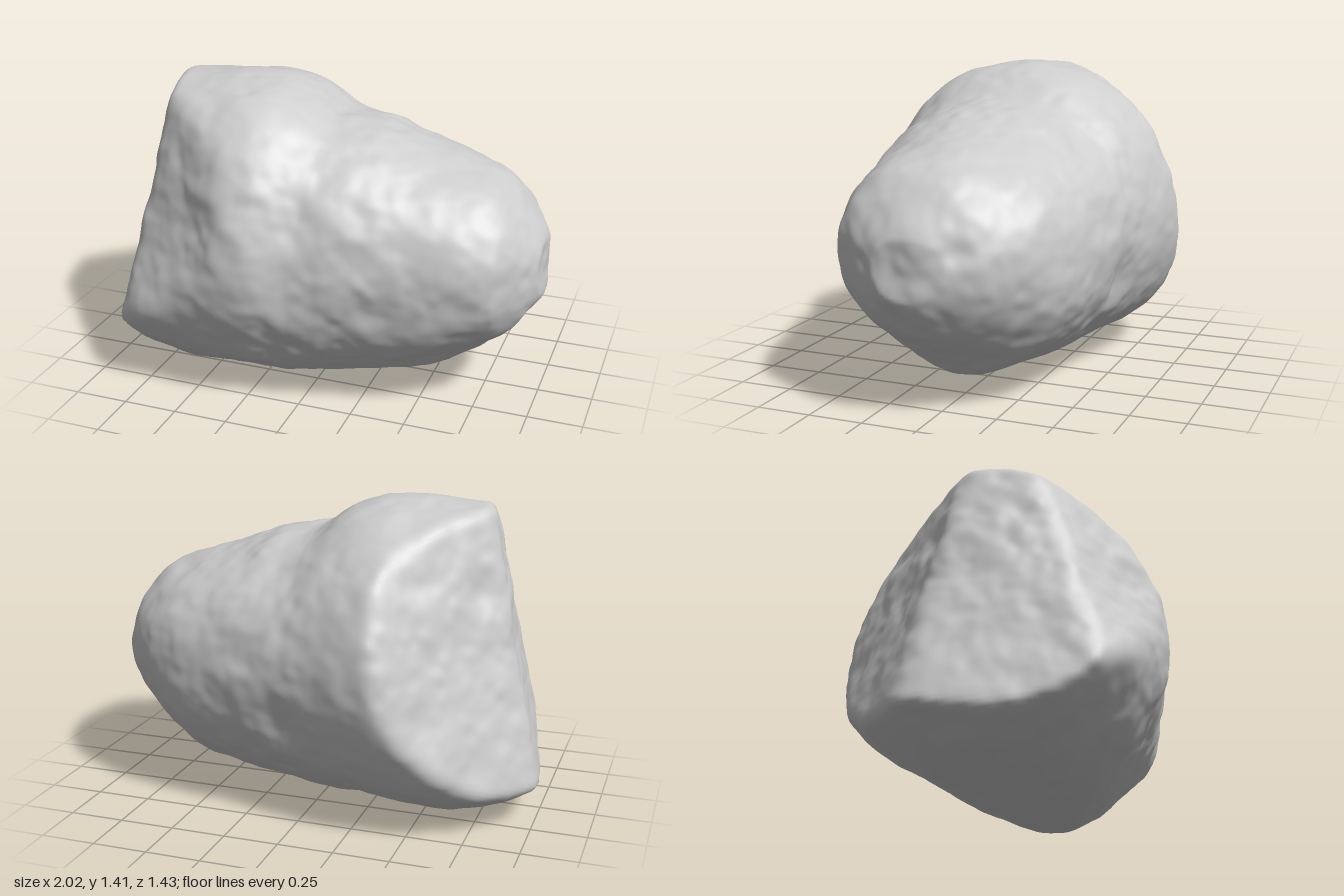
import * as THREE from 'three';
import { mergeVertices } from 'three/addons/utils/BufferGeometryUtils.js';

// Outline distances along the long axis: [x, value]
const TOP = [[-1.1, 1.37], [-0.75, 1.385], [-0.55, 1.39], [-0.33, 1.41], [-0.2, 1.395], [-0.08, 1.35], [0.05, 1.26], [0.25, 1.23], [0.5, 1.14], [0.78, 1.06], [0.9, 0.96], [0.98, 0.84], [1.03, 0.75]];
const BOTTOM = [[-1.1, 0.19], [-0.97, 0.13], [-0.8, 0.04], [-0.6, 0], [-0.3, 0.02], [0, 0.03], [0.25, 0.06], [0.57, 0.1], [0.7, 0.21], [0.9, 0.37], [0.98, 0.48], [1.03, 0.55]];
const BACK = [[-1.1, -0.72], [-0.4, -0.72], [-0.15, -0.66], [0.1, -0.61], [0.4, -0.55], [0.6, -0.5], [0.75, -0.43], [0.88, -0.32], [0.97, -0.2], [1.03, -0.1]];
const FRONT = [[-1.1, 0.63], [-0.8, 0.65], [-0.6, 0.67], [-0.3, 0.71], [-0.15, 0.71], [0, 0.65], [0.2, 0.61], [0.4, 0.56], [0.7, 0.5], [0.85, 0.44], [0.95, 0.3], [1.03, 0.17]];
const CY = 0.68, CZ = 0.05;

// Flat broken faces: [nx, ny, nz, offset, edge rounding]
const CUTS = [
  [-1, 0.2, 0.17, 1.015, 0.04],
  [-1, 0.35, -0.865, 1.275, 0.05],
  [-0.5, 0.3, 0.8, 0.975, 0.05],
  [1, 0.02, -0.03, 1.01, 0.12],
  [0.35, -0.75, 0.55, 0.175, 0.06],
];

// Craters and hollows: [x, y, z, radius, depth], negative depth for a lump
const DENTS = [
  [-0.7, 1.05, -0.18, 0.1, 0.03], [0.08, 0.47, -0.58, 0.14, 0.035],
  [0.15, 1.1, -0.42, 0.15, 0.025], [0.98, 0.75, -0.16, 0.08, 0.025],
  [-0.42, 0.8, 0.6, 0.18, 0.03], [-0.15, 0.38, 0.6, 0.12, 0.02],
  [-0.68, 0.4, 0.58, 0.17, -0.035], [0.7, 0.62, 0.48, 0.08, 0.012],
  [0.0, 0.95, 0.57, 0.13, 0.015],
];

function linear(profile, x) {
  if (x <= profile[0][0]) return profile[0][1];
  for (let i = 1; i < profile.length; i++) {
    const [x0, a] = profile[i - 1], [x1, b] = profile[i];
    if (x <= x1) return a + (b - a) * (x - x0) / (x1 - x0);
  }
  return profile[profile.length - 1][1];
}

// Outline with its corners softened
function sample(profile, x) {
  return (linear(profile, x - 0.04) + 2 * linear(profile, x) + linear(profile, x + 0.04)) / 4;
}

function smoothMax(a, b, k) {
  const h = Math.max(k - Math.abs(a - b), 0) / k;
  return Math.max(a, b) + h * h * k / 4;
}

// Signed field, negative inside the rock
function field(p) {
  const h = p.y > CY ? sample(TOP, p.x) - CY : CY - sample(BOTTOM, p.x);
  const w = p.z > CZ ? sample(FRONT, p.x) - CZ : CZ - sample(BACK, p.x);
  const q = Math.pow(Math.abs(p.y - CY) / h, 2.1) + Math.pow(Math.abs(p.z - CZ) / w, 2.1);
  let f = 0.65 * (Math.pow(q, 1 / 2.1) - 1);
  for (const [a, b, c, d, k] of CUTS) {
    f = smoothMax(f, (a * p.x + b * p.y + c * p.z - d) / Math.hypot(a, b, c), k);
  }
  return f;
}

// Seeded lattice noise in -1..1
function hash(x, y, z) {
  let n = Math.imul(x, 374761393) ^ Math.imul(y, 668265263) ^ Math.imul(z, 1274126177);
  n = Math.imul(n ^ (n >>> 13), 1103515245);
  n = Math.imul(n ^ (n >>> 15), 739982445);
  return ((n ^ (n >>> 16)) >>> 0) / 2147483648 - 1;
}
function noise(x, y, z) {
  const i = Math.floor(x), j = Math.floor(y), k = Math.floor(z);
  const ease = (t) => t * t * (3 - 2 * t);
  const u = ease(x - i), v = ease(y - j), w = ease(z - k);
  let sum = 0;
  for (let c = 0; c < 8; c++) {
    const a = c & 1, b = (c >> 1) & 1, d = c >> 2;
    sum += hash(i + a, j + b, k + d) * (a ? u : 1 - u) * (b ? v : 1 - v) * (d ? w : 1 - w);
  }
  return sum;
}

// Outward bumpiness at a surface point
function relief(p) {
  let d = 0.008 * noise(p.x * 4, p.y * 4, p.z * 4)
    + 0.009 * noise(p.x * 9 + 7, p.y * 9, p.z * 9)
    + 0.004 * noise(p.x * 19, p.y * 19 + 3, p.z * 19);
  for (const [x, y, z, r, depth] of DENTS) {
    const t = Math.hypot(p.x - x, p.y - y, p.z - z) / r;
    d -= depth * Math.exp(-t * t * 1.5);
  }
  return d;
}

export function createModel() {
  const group = new THREE.Group();
  group.name = 'asteroid';
  const stone = new THREE.MeshStandardMaterial({ color: 0xcdcdcd });
  stone.name = 'pale grey stone';

  // Sphere pushed out along each ray to the rock surface
  let geometry = new THREE.IcosahedronGeometry(1, 56);
  geometry.deleteAttribute('normal');
  geometry.deleteAttribute('uv');
  geometry = mergeVertices(geometry, 1e-5);
  const pos = geometry.attributes.position;
  const centre = new THREE.Vector3(0, CY, CZ);
  const dir = new THREE.Vector3(), p = new THREE.Vector3();
  for (let i = 0; i < pos.count; i++) {
    dir.fromBufferAttribute(pos, i);
    dir.set(dir.x * 1.35, dir.y, dir.z).normalize();
    let lo = 0, hi = 1.6;
    for (let n = 0; n < 24; n++) {
      const mid = (lo + hi) / 2;
      if (field(p.copy(centre).addScaledVector(dir, mid)) < 0) lo = mid;
      else hi = mid;
    }
    p.copy(centre).addScaledVector(dir, lo);
    p.addScaledVector(dir, relief(p));
    pos.setXYZ(i, p.x, p.y, p.z);
  }

  // Seat on the ground and centre
  geometry.computeBoundingBox();
  const box = geometry.boundingBox;
  const mid = box.getCenter(new THREE.Vector3());
  geometry.translate(-mid.x, -box.min.y, -mid.z);
  geometry.computeVertexNormals();

  const rock = new THREE.Mesh(geometry, stone);
  rock.name = 'rockBody';
  group.add(rock);
  return group;
}
